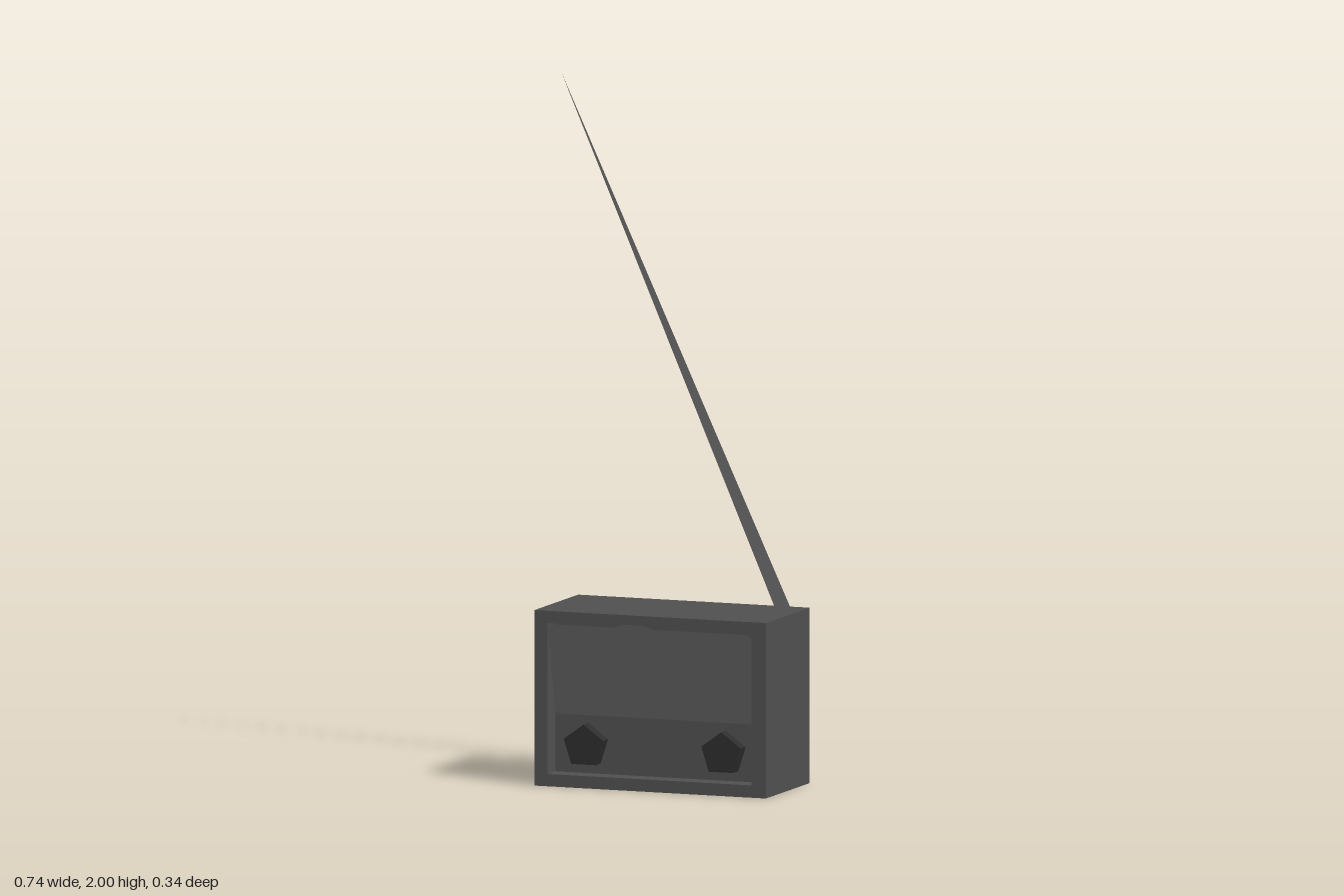
import * as THREE from 'three';

const material = (name, color, extra = {}) =>
  Object.assign(new THREE.MeshStandardMaterial({ color, flatShading: true, ...extra }), { name });

export function createModel() {
  const model = new THREE.Group();
  model.name = 'radio';

  const caseGrey = material('case grey', 0x505050);
  const panelGrey = material('panel grey', 0x686868, { side: THREE.DoubleSide });
  const antennaGrey = material('antenna grey', 0x6c6c6c);
  const knobBlack = material('knob black', 0x2e2e2e);

  const add = (name, geometry, mat, x = 0, y = 0, z = 0) => {
    const mesh = new THREE.Mesh(geometry, mat);
    mesh.name = name;
    mesh.position.set(x, y, z);
    model.add(mesh);
    return mesh;
  };

  // Case extents, and the depth plane at the bottom of the front recess
  const left = -0.33, right = 0.373, height = 0.5;
  const back = -0.168, recess = 0.105, front = 0.165;
  const midX = (left + right) / 2;

  add('case', new THREE.BoxGeometry(right - left, height, recess - back), caseGrey,
    midX, height / 2, (recess + back) / 2);

  // Raised rim around the recess
  const rect = (Type, x0, y0, x1, y1) => new Type([
    new THREE.Vector2(x0, y0), new THREE.Vector2(x1, y0),
    new THREE.Vector2(x1, y1), new THREE.Vector2(x0, y1),
  ]);
  const rim = rect(THREE.Shape, left, 0, right, height);
  rim.holes.push(rect(THREE.Path, -0.29, 0.035, 0.33, 0.465));
  add('frontFrame', new THREE.ExtrudeGeometry(rim, { depth: front - recess, bevelEnabled: false }),
    caseGrey, 0, 0, recess);

  // Sloping speaker panel, flush at the top and recessed at its lower edge
  const outline = [
    [-0.29, 0.205], [-0.27, 0.2], [0.31, 0.2], [0.33, 0.205], [0.33, 0.45], [0.315, 0.463],
    [0.03, 0.463], [0, 0.473], [-0.06, 0.473], [-0.09, 0.463], [-0.275, 0.463], [-0.29, 0.45],
  ].map(([x, y]) => new THREE.Vector2(x, y));
  const panel = new THREE.ShapeGeometry(new THREE.Shape(outline));
  const p = panel.attributes.position;
  for (let i = 0; i < p.count; i++) {
    const t = (p.getY(i) - 0.2) / 0.263;
    p.setZ(i, recess + 0.001 + t * (front - recess));
  }
  panel.computeVertexNormals();
  add('speakerPanel', panel, panelGrey);

  // Five-sided knobs, one corner up
  const knob = new THREE.CylinderGeometry(0.063, 0.063, 0.04, 5);
  knob.rotateY(Math.PI).rotateX(Math.PI / 2);
  for (const [name, x] of [['rightKnob', -0.19], ['leftKnob', 0.228]]) {
    add(name, knob, knobBlack, x, 0.115, recess + 0.018);
  }

  // Three-sided antenna: a cone sheared so its base stays flat on the case
  const length = 1.5;
  const antenna = new THREE.ConeGeometry(0.028, length, 3, 1);
  antenna.rotateY(Math.PI).translate(0, length / 2, 0);
  const a = antenna.attributes.position;
  for (let i = 0; i < a.count; i++) {
    a.setX(i, a.getX(i) - (0.683 * a.getY(i)) / length);
  }
  antenna.computeVertexNormals();
  add('antenna', antenna, antennaGrey, 0.315, height, -0.127);

  return model;
}
